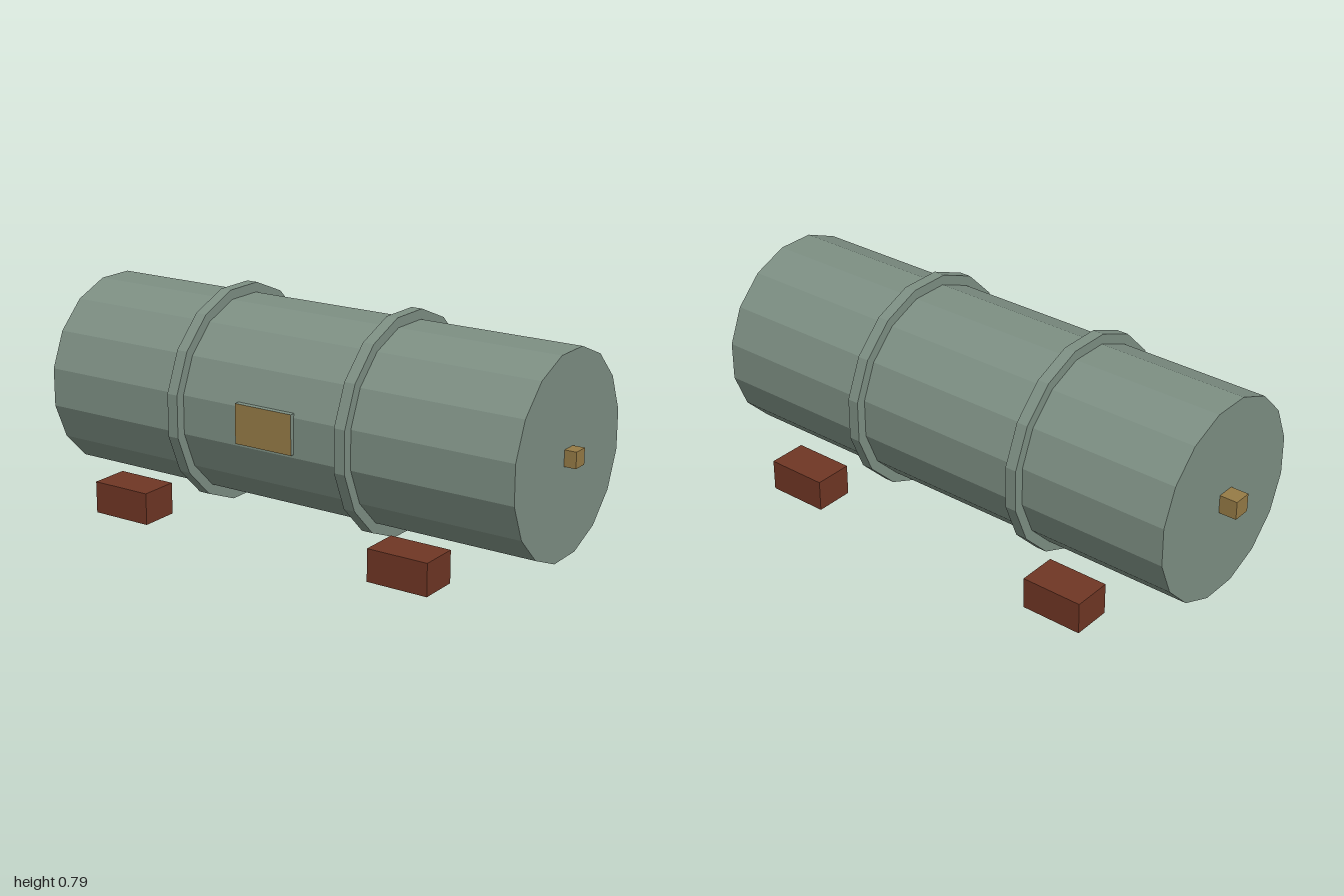
import * as THREE from 'three';

export function createModel() {
  const model = new THREE.Group();
  const material = (name, color) => {
    const m = new THREE.MeshStandardMaterial({ color, flatShading: true });
    m.name = name;
    return m;
  };
  const green = material('greyGreen', 0x7d8f83);
  const brass = material('brass', 0x967b46);
  const rust = material('rustBrown', 0x6f3624);

  const add = (name, geometry, mat, x, y, z) => {
    const mesh = new THREE.Mesh(geometry, mat);
    mesh.name = name;
    mesh.position.set(x, y, z);
    model.add(mesh);
    return mesh;
  };

  const SIDES = 16, AXIS_Y = 0.403;
  // Sixteen-sided drum along x with a flat facet on top, sized by facet distance
  const drum = (apothem, length) =>
    new THREE.CylinderGeometry(
      apothem / Math.cos(Math.PI / SIDES), apothem / Math.cos(Math.PI / SIDES), length, SIDES)
      .rotateY(Math.PI / SIDES)
      .rotateZ(-Math.PI / 2);

  // Tank and its two raised bands
  add('tank', drum(0.35, 1.892), green, 0.011, AXIS_Y, 0);
  for (const x of [-0.36, 0.33]) add('band', drum(0.385, 0.042), green, x, AXIS_Y, 0);

  // Small knobs on both ends
  add('rightKnob', new THREE.BoxGeometry(0.085, 0.066, 0.066), brass, -0.9575, AXIS_Y, 0);
  add('leftKnob', new THREE.BoxGeometry(0.065, 0.057, 0.057), brass, 0.9675, AXIS_Y, 0);

  // Front plate: green edges, brass face
  add('frontPlate', new THREE.BoxGeometry(0.23, 0.142, 0.03),
    [green, green, green, green, brass, green], 0.008, 0.416, 0.35);

  // Four support blocks
  for (const x of [-0.566, 0.583])
    for (const side of [-1, 1])
      add('supportBlock', new THREE.BoxGeometry(0.228, 0.115, 0.143), rust, x, 0.0575, side * 0.3585);

  return model;
}
